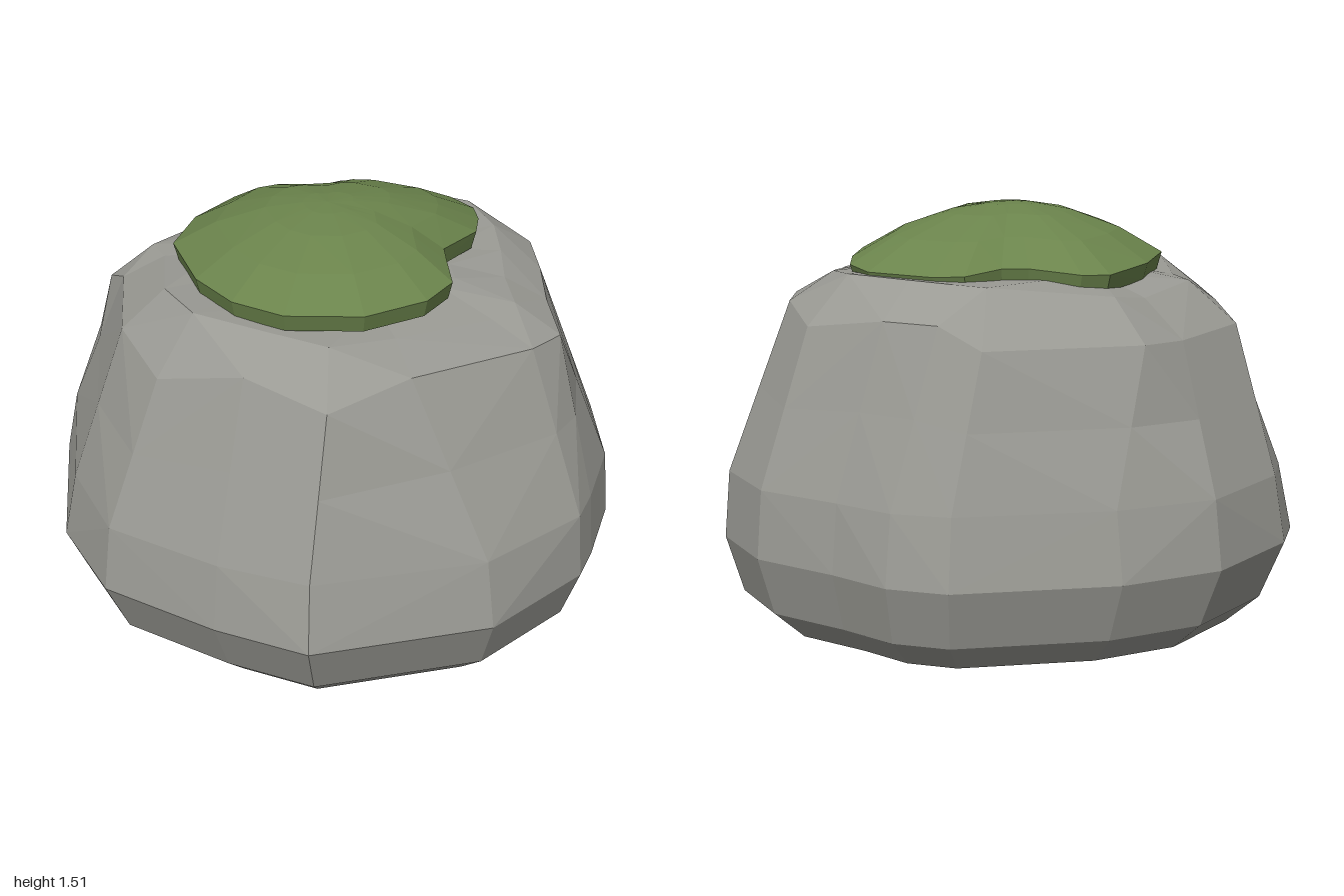
import * as THREE from 'three';

// Widest outline of the boulder [x, z], counter-clockwise from the front
const belly = [
  [0.01, 1], [0.14, 0.965], [0.4, 0.87], [0.66, 0.66], [0.87, 0.46], [0.98, 0.18],
  [0.945, -0.12], [0.94, -0.34], [0.86, -0.52], [0.46, -0.86], [0.14, -1], [-0.26, -0.98],
  [-0.43, -0.9], [-0.84, -0.5], [-0.99, -0.17], [-0.94, 0.25], [-0.86, 0.56], [-0.4, 0.93],
];

// Chipped shoulder where the walls meet the top [x, y, z], same order
const shoulder = [
  [0.04, 1.18, 0.75], [0.19, 1.17, 0.76], [0.33, 1.2, 0.62], [0.5, 1.21, 0.49],
  [0.66, 1.21, 0.35], [0.78, 1.16, 0.14], [0.74, 1.2, -0.15], [0.7, 1.2, -0.34],
  [0.65, 1.13, -0.47], [0.24, 1.13, -0.77], [0.04, 1.12, -0.77], [-0.31, 1.13, -0.74],
  [-0.38, 1.19, -0.61], [-0.66, 1.19, -0.35], [-0.77, 1.14, -0.1], [-0.71, 1.22, 0.2],
  [-0.65, 1.16, 0.47], [-0.39, 1.21, 0.59],
];

// Ragged edge of the moss patch [x, z], counter-clockwise from the front
const mossEdge = [
  [-0.05, 0.5], [0.05, 0.41], [0.12, 0.35], [0.34, 0.33], [0.46, 0.26], [0.55, 0.18],
  [0.6, 0.05], [0.55, -0.18], [0.49, -0.26], [0.36, -0.3], [0.3, -0.36], [0.22, -0.51],
  [0.14, -0.56], [-0.1, -0.53], [-0.32, -0.43], [-0.5, -0.17], [-0.56, 0.03],
  [-0.54, 0.22], [-0.4, 0.42], [-0.2, 0.51],
];

// True when point d lies outside the plane through a, b, c
function isOutside(a, b, c, d) {
  const [A, B, C, D] = [a, b, c, d].map((p) => new THREE.Vector3(...p));
  return B.sub(A).cross(C.sub(A)).dot(D.sub(A)) > 0;
}

// Closed skin through stacked rings, capped by a point at each end;
// every quad is split along its ridge so the facets bulge outward
function skin(rings, bottom, top) {
  const n = rings[0].length;
  const last = rings[rings.length - 1];
  const out = [];
  const tri = (a, b, c) => out.push(...a, ...b, ...c);
  for (let i = 0; i < n; i++) {
    const j = (i + 1) % n;
    tri(bottom, rings[0][j], rings[0][i]);
    for (let k = 0; k < rings.length - 1; k++) {
      const a = rings[k][i], b = rings[k][j], c = rings[k + 1][j], d = rings[k + 1][i];
      if (isOutside(a, b, c, d)) {
        tri(a, b, d);
        tri(b, c, d);
      } else {
        tri(a, b, c);
        tri(a, c, d);
      }
    }
    tri(last[i], last[j], top);
  }
  const geo = new THREE.BufferGeometry();
  geo.setAttribute('position', new THREE.Float32BufferAttribute(out, 3));
  geo.computeVertexNormals();
  return geo;
}

const scaled = (outline, s, y, dx = 0) => outline.map(([x, z]) => [x * s + dx, y, z * s]);

export function createModel() {
  const stone = new THREE.MeshStandardMaterial({ color: 0x9a9a94, flatShading: true });
  stone.name = 'stone grey';
  const green = new THREE.MeshStandardMaterial({ color: 0x6b844c, flatShading: true });
  green.name = 'moss green';

  // Lower wall, pinched in at every corner but the front left one
  const low = belly.map(([x, z]) => {
    const s = 0.98 - (x > 0 && z > 0 ? 0 : 0.07 * Math.abs(x * z));
    return [x * s, 0.66, z * s];
  });
  const wall = low.map((p, i) => p.map((v, a) => (v + shoulder[i][a]) / 2));
  const brow = shoulder.map(([x, , z]) =>
    [x * 0.8, 1.235 + 0.1 * Math.abs(x), z * 0.8]);
  const crown = shoulder.map(([x, , z]) => [x * 0.54, 1.3, z * 0.54]);

  // Boulder: shallow underside, bevelled foot, tapering walls, sloping top
  const rock = new THREE.Mesh(skin([
    scaled(belly, 0.33, 0.035),
    scaled(belly, 0.57, 0.09),
    scaled(belly, 0.82, 0.15, 0.015),
    scaled(belly, 0.93, 0.25, 0.015),
    scaled(belly, 1, 0.44),
    low, wall, shoulder, brow, crown,
  ], [-0.03, 0, 0], [0, 1.32, 0]), stone);
  rock.name = 'boulder';

  // Moss: thin tilted rim that rises where the edge cuts inward, then a low dome
  const mossRing = (s, y, rise) => mossEdge.map(([x, z]) => [
    x * s - 0.04 * (1 - s),
    y + rise * (0.55 - Math.hypot(x, z)) + (0.035 * z - 0.03 * x) * s * s,
    z * s,
  ]);
  const moss = new THREE.Mesh(skin([
    mossRing(0.97, 1.288, 0.12),
    mossRing(1, 1.345, 0.15),
    mossRing(0.72, 1.425, 0.1),
    mossRing(0.4, 1.482, 0.04),
    mossRing(0.16, 1.503, 0),
  ], [0, 1.29, 0], [-0.04, 1.508, 0]), green);
  moss.name = 'mossPatch';

  const group = new THREE.Group();
  group.name = 'mossyBoulder';
  group.add(rock, moss);
  return group;
}
